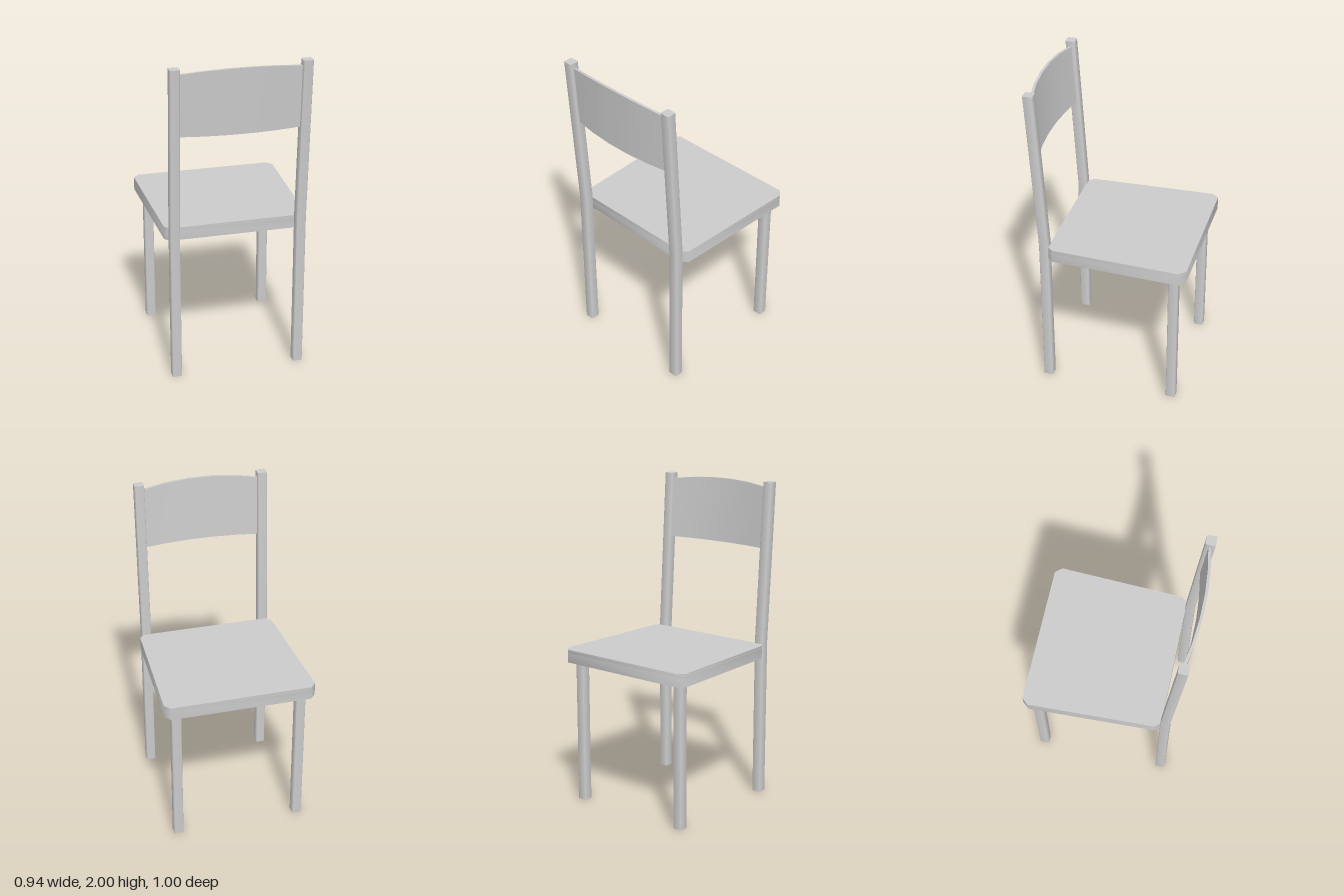
import * as THREE from 'three';
import { toCreasedNormals } from 'three/addons/utils/BufferGeometryUtils.js';

const material = new THREE.MeshStandardMaterial({ color: 0xcccccc });

// Extrude an (x, z) outline downward from the height `top`
function slab(shape, top, depth, steps = 1) {
  const g = new THREE.ExtrudeGeometry(shape, { depth, steps, bevelEnabled: false, curveSegments: 3 });
  g.rotateX(Math.PI / 2);
  g.translate(0, top, 0);
  return g;
}

// Square section with softened corners
function legSection(size, r = 0.008) {
  const h = size / 2;
  const s = new THREE.Shape();
  s.absarc(h - r, h - r, r, 0, Math.PI / 2);
  s.absarc(-h + r, h - r, r, Math.PI / 2, Math.PI);
  s.absarc(-h + r, -h + r, r, Math.PI, Math.PI * 1.5);
  s.absarc(h - r, -h + r, r, Math.PI * 1.5, Math.PI * 2);
  return s;
}

// Tapered seat outline with clipped corners, inset by d
function seatOutline(d = 0) {
  const k = d * 0.4;
  const half = [[0.41 - k, 0.37 - d], [0.44 - d, 0.335 - k], [0.47 - d, -0.46 + k], [0.435 - k, -0.5 + d]];
  const mirrored = half.map(([x, z]) => [-x, z]).reverse();
  return [...half, ...mirrored].map(([x, z]) => new THREE.Vector2(x, z));
}

// Move every vertex by a rule, then rebuild the normals
function deform(g, rule) {
  const p = g.attributes.position;
  const v = new THREE.Vector3();
  for (let i = 0; i < p.count; i++) {
    rule(v.fromBufferAttribute(p, i));
    p.setXYZ(i, v.x, v.y, v.z);
  }
  g.computeVertexNormals();
  return g;
}

export function createModel() {
  const chair = new THREE.Group();
  chair.name = 'chair';
  const add = (name, geometry, x = 0, y = 0, z = 0) => {
    const mesh = new THREE.Mesh(geometry, material);
    mesh.name = name;
    mesh.position.set(x, y, z);
    chair.add(mesh);
  };

  // Seat: top panel over a rim that leaves the underside hollow
  add('seatPanel', toCreasedNormals(slab(new THREE.Shape(seatOutline()), 0.99, 0.02), 1));
  const rim = new THREE.Shape(seatOutline());
  rim.holes.push(new THREE.Path(seatOutline(0.02).reverse()));
  add('seatRim', toCreasedNormals(slab(rim, 0.97, 0.062), 1));

  // Front legs reach up into the seat; back posts lean back above it
  const frontLeg = toCreasedNormals(slab(legSection(0.06), 0.97, 0.97), 0.7);
  const backPost = toCreasedNormals(deform(slab(legSection(0.06), 2, 2, 2), (v) => {
    v.z += 0.062 * Math.max(0, v.y - 1);
  }), 0.7);
  for (const [side, s] of [['left', 1], ['right', -1]]) {
    add(side + 'FrontLeg', frontLeg, s * 0.39, 0, -0.417);
    add(side + 'BackPost', backPost, s * 0.39, 0, 0.396);
  }

  // Backrest: bowed, leaning board of five facets with an arched top edge
  const board = deform(new THREE.BoxGeometry(0.73, 0.404, 0.016, 5, 1, 1), (v) => {
    const bow = (v.x / 0.36) ** 2;
    if (v.y > 0) v.y -= 0.025 * bow;
    v.z += 0.062 * (v.y - 0.2) - 0.035 * bow;
  });
  add('backrest', board, 0, 1.789, 0.493);

  return chair;
}
